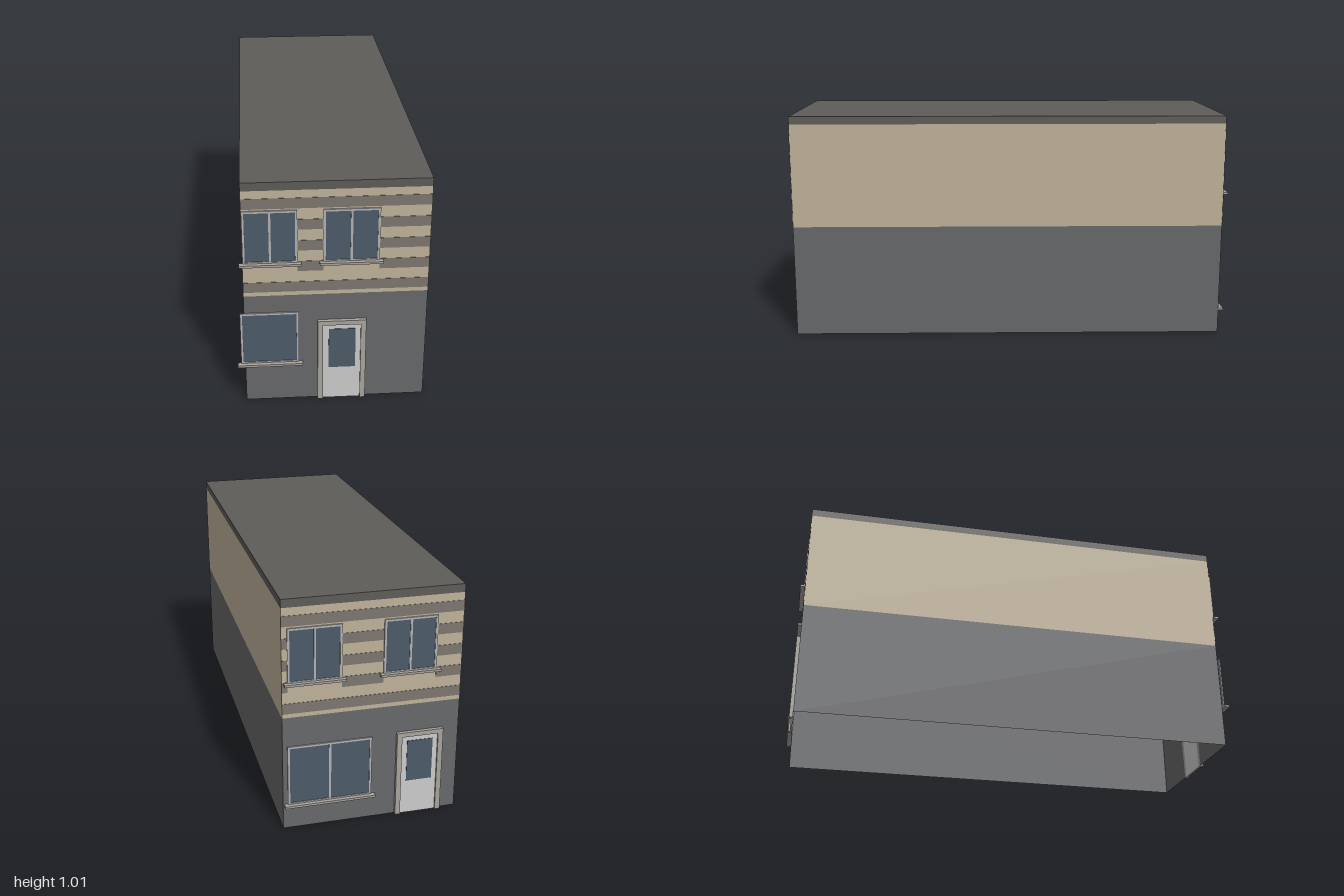
import * as THREE from 'three';

const mat = (color) => new THREE.MeshStandardMaterial({ color, side: THREE.DoubleSide });
const M = {
  lower: mat(0x67686a), upper: mat(0xbfb299), stripe: mat(0x7c776f), roof: mat(0x5e5c58),
  frame: mat(0xb2b2b2), sill: mat(0xa6a29c), glass: mat(0x4c5a67), door: mat(0xbcbcbc), surround: mat(0xa8a49d),
};

const X0 = -0.36, X1 = 0.39, Z = 0.977, TOP = 1.01;

// Box given by its extents
function box(name, m, x0, x1, y0, y1, z0, z1) {
  const mesh = new THREE.Mesh(new THREE.BoxGeometry(x1 - x0, y1 - y0, z1 - z0), m);
  mesh.position.set((x0 + x1) / 2, (y0 + y1) / 2, (z0 + z1) / 2);
  mesh.name = name;
  return mesh;
}

// Open ring of four walls between two heights
function wallBand(name, m, y0, y1) {
  const g = new THREE.Group();
  g.name = name;
  const w = X1 - X0, cx = (X0 + X1) / 2;
  for (let i = 0; i < 4; i++) {
    const side = i % 2 === 1;
    const mesh = new THREE.Mesh(new THREE.PlaneGeometry(side ? 2 * Z : w, y1 - y0), m);
    const a = i * Math.PI / 2, d = side ? w / 2 : Z;
    mesh.position.set(cx + Math.sin(a) * d, (y0 + y1) / 2, Math.cos(a) * d);
    mesh.rotation.y = a;
    mesh.name = name + 'Wall';
    g.add(mesh);
  }
  return g;
}

// Rectangular frame with openings, panes and a projecting sill
function windowUnit(name, x0, x1, y0, y1, panes) {
  const g = new THREE.Group();
  g.name = name;
  const t = 0.009;
  const shape = new THREE.Shape([[x0, y0], [x1, y0], [x1, y1], [x0, y1]].map((p) => new THREE.Vector2(...p)));
  const pw = (x1 - x0 - t * (panes + 1)) / panes;
  for (let i = 0; i < panes; i++) {
    const a = x0 + t + i * (pw + t), b = a + pw;
    shape.holes.push(new THREE.Path([[a, y0 + t], [a, y1 - t], [b, y1 - t], [b, y0 + t]].map((p) => new THREE.Vector2(...p))));
  }
  const frame = new THREE.Mesh(new THREE.ExtrudeGeometry(shape, { depth: 0.006, bevelEnabled: false }), M.frame);
  frame.position.z = Z;
  frame.name = 'windowFrame';
  g.add(frame);
  g.add(box('windowGlass', M.glass, x0 + t / 2, x1 - t / 2, y0 + t / 2, y1 - t / 2, Z, Z + 0.003));
  g.add(box('windowSill', M.sill, x0 - 0.015, x1 + 0.015, y0 - 0.007, y0 + 0.003, Z, 1));
  return g;
}

// Glazed door in a raised three-sided surround
function doorUnit(x) {
  const g = new THREE.Group();
  g.name = 'doorway';
  const s = new THREE.Shape([[0, 0], [0.022, 0], [0.022, 0.365], [0.178, 0.365], [0.178, 0], [0.2, 0], [0.2, 0.385], [0, 0.385]]
    .map((p) => new THREE.Vector2(...p)));
  const surround = new THREE.Mesh(new THREE.ExtrudeGeometry(s, { depth: 0.016, bevelEnabled: false }), M.surround);
  surround.position.z = Z;
  surround.name = 'doorSurround';
  g.add(surround);
  g.add(box('doorPanel', M.door, 0.022, 0.178, 0, 0.365, Z, Z + 0.008));
  g.add(box('doorGlass', M.glass, 0.046, 0.157, 0.155, 0.343, Z, Z + 0.01));
  g.position.x = x;
  return g;
}

// One end wall's details; upper windows interrupt the middle stripes
function facade(name, left, right, uppers, shop, doorX) {
  const g = new THREE.Group();
  g.name = name;
  const spans = [];
  let start = left;
  for (const [a, b] of uppers) {
    if (a - start > 0.004) spans.push([start, a]);
    start = b;
    g.add(windowUnit('upperWindow', a, b, 0.657, 0.89, 2));
  }
  spans.push([start, right]);
  for (let i = 0; i < 5; i++) {
    const y = 0.525 + i * 0.093;
    const list = i === 0 || i === 4 ? [[left, right]] : spans;
    for (const [a, b] of list) g.add(box('stripe', M.stripe, a, b, y, y + 0.045, Z + 0.0005, Z + 0.002));
  }
  g.add(windowUnit('shopWindow', ...shop));
  g.add(doorUnit(doorX));
  return g;
}

export function createModel() {
  const model = new THREE.Group();
  model.name = 'terraceBuilding';

  // Hollow shell, open underneath
  model.add(wallBand('groundFloor', M.lower, 0, 0.507));
  model.add(wallBand('upperFloor', M.upper, 0.507, 0.975));
  model.add(wallBand('parapet', M.roof, 0.975, TOP));
  const roof = new THREE.Mesh(new THREE.PlaneGeometry(X1 - X0, 2 * Z), M.roof);
  roof.rotation.x = -Math.PI / 2;
  roof.position.set((X0 + X1) / 2, TOP, 0);
  roof.name = 'roof';
  model.add(roof);

  // Front and back facades; the back is laid out facing +z and turned round
  model.add(facade('frontFacade', X0, X1, [[-0.358, -0.14], [-0.037, 0.188]],
    [-0.377, -0.137, 0.185, 0.428, 1], -0.06));
  const back = facade('backFacade', -X1, -X0, [[-0.367, -0.145], [0.027, 0.25]],
    [-0.37, -0.015, 0.11, 0.378, 2], 0.09);
  back.rotation.y = Math.PI;
  model.add(back);
  return model;
}
